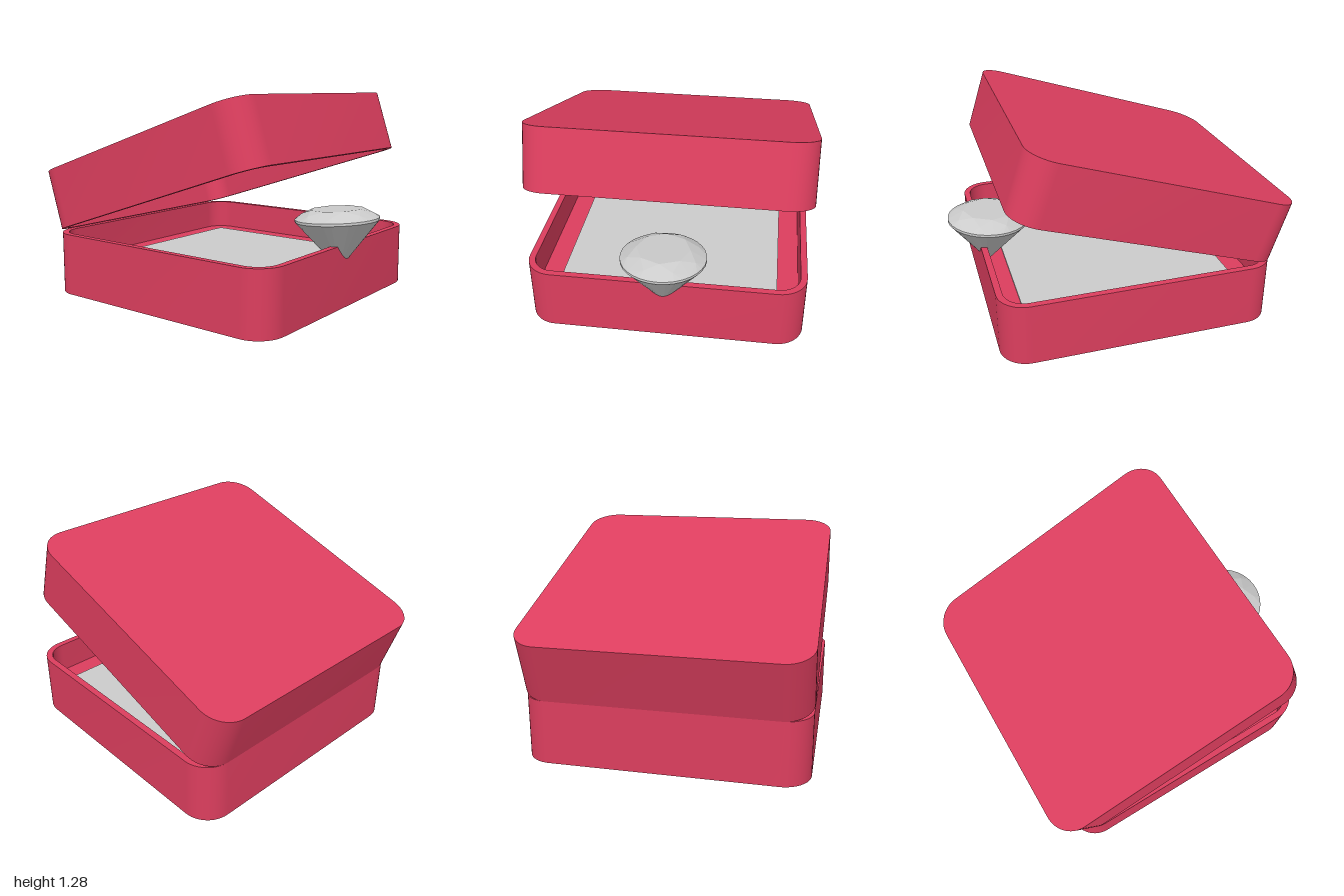
import * as THREE from 'three';
import { toCreasedNormals } from 'three/addons/utils/BufferGeometryUtils.js';

const red = new THREE.MeshStandardMaterial({ color: 0xdc3e5e });
const grey = new THREE.MeshStandardMaterial({ color: 0xcccccc });
const greyFlat = new THREE.MeshStandardMaterial({ color: 0xcccccc, flatShading: true });

const HEIGHT = 0.39, FLOOR = 0.19, WALL = 0.04, CORNER = 0.17;

// Outline of a square with rounded corners, as [x, z] points
function roundedSquare(half, radius, steps = 12) {
  const points = [], c = half - radius;
  for (let q = 0; q < 4; q++) {
    const mid = Math.PI / 4 + q * Math.PI / 2;
    const cx = Math.sign(Math.cos(mid)) * c, cz = Math.sign(Math.sin(mid)) * c;
    for (let i = 0; i <= steps; i++) {
      const a = (q + i / steps) * Math.PI / 2;
      points.push([cx + radius * Math.cos(a), cz + radius * Math.sin(a)]);
    }
  }
  return points;
}

// Open tray: outlines stacked from the underside, over the rim, to the inner floor
function trayGeometry(half, height) {
  const outer = roundedSquare(half, CORNER);
  const inner = roundedSquare(half - WALL, CORNER - WALL);
  const centre = outer.map(() => [0, 0]);
  const rings = [[centre, 0], [outer, 0], [outer, height], [inner, height], [inner, FLOOR], [centre, FLOOR]];
  const n = outer.length, position = [], index = [];
  for (const [ring, y] of rings) for (const [x, z] of ring) position.push(x, y, z);
  for (let j = 0; j < rings.length - 1; j++) {
    for (let i = 0; i < n; i++) {
      const k = (i + 1) % n;
      const a = j * n + i, b = a + n, c = j * n + k, d = c + n;
      if (j > 0) index.push(a, b, c);
      if (j < rings.length - 2) index.push(b, d, c);
    }
  }
  const geometry = new THREE.BufferGeometry();
  geometry.setAttribute('position', new THREE.Float32BufferAttribute(position, 3));
  geometry.setIndex(index);
  return toCreasedNormals(geometry, 0.6);
}

// Tray with its square lining
function makeTray(name, half, height) {
  const group = new THREE.Group();
  group.name = name;
  const shell = new THREE.Mesh(trayGeometry(half, height), red);
  shell.name = name + 'Shell';
  const lining = new THREE.Mesh(new THREE.BoxGeometry(1.36, 0.01, 1.36), grey);
  lining.name = name + 'Lining';
  lining.position.y = FLOOR + 0.005;
  group.add(shell, lining);
  return group;
}

// Brilliant-cut gem, with the lower girdle edge at y = 0
function gemGeometry() {
  const R = 0.256, BAND = 0.015, sides = 32, position = [];
  const at = (r, y, step) => {
    const a = step * 2 * Math.PI / sides;
    return [r * Math.cos(a), y, r * Math.sin(a)];
  };
  const tri = (...corners) => corners.forEach((p) => position.push(...p));
  const table = (s) => at(0.16, 0.07, s);
  const middle = (s) => at(0.215, 0.045, s);
  const girdle = (s) => at(R, BAND, s);
  const lower = (s) => at(R, 0, s);
  // Crown: table, star, kite and upper girdle facets
  for (let s = 0; s < sides; s += 4) {
    tri([0, 0.07, 0], table(s + 4), table(s));
    tri(table(s), table(s + 4), middle(s + 2));
    tri(table(s), middle(s + 2), girdle(s));
    tri(table(s), girdle(s), middle(s - 2));
    for (let i = 0; i < 4; i++) tri(middle(s + 2), girdle(s + i + 1), girdle(s + i));
  }
  // Girdle band and pointed pavilion
  for (let s = 0; s < sides; s++) {
    tri(lower(s), girdle(s), lower(s + 1));
    tri(girdle(s), girdle(s + 1), lower(s + 1));
    tri([0, -0.3, 0], lower(s), lower(s + 1));
  }
  const geometry = new THREE.BufferGeometry();
  geometry.setAttribute('position', new THREE.Float32BufferAttribute(position, 3));
  geometry.computeVertexNormals();
  return geometry;
}

export function createModel() {
  const model = new THREE.Group();
  model.name = 'jewelBox';

  // Base
  const base = makeTray('base', 0.85, HEIGHT);
  base.position.z = -0.03;
  model.add(base);

  // Lid: a tray upside down, tilted open about the rear hinge line
  const hinge = new THREE.Group();
  hinge.name = 'lidHinge';
  hinge.position.set(0, HEIGHT, -0.88);
  hinge.rotation.x = -Math.PI / 10;
  const lid = makeTray('lid', 0.853, 0.385);
  lid.rotation.z = Math.PI;
  lid.position.set(0, 0.385, 0.853);
  hinge.add(lid);
  model.add(hinge);

  // Gem resting in the front of the base
  const gem = new THREE.Mesh(gemGeometry(), greyFlat);
  gem.name = 'gem';
  gem.position.set(0, 0.525, 0.745);
  gem.rotation.x = -0.07;
  model.add(gem);

  return model;
}
